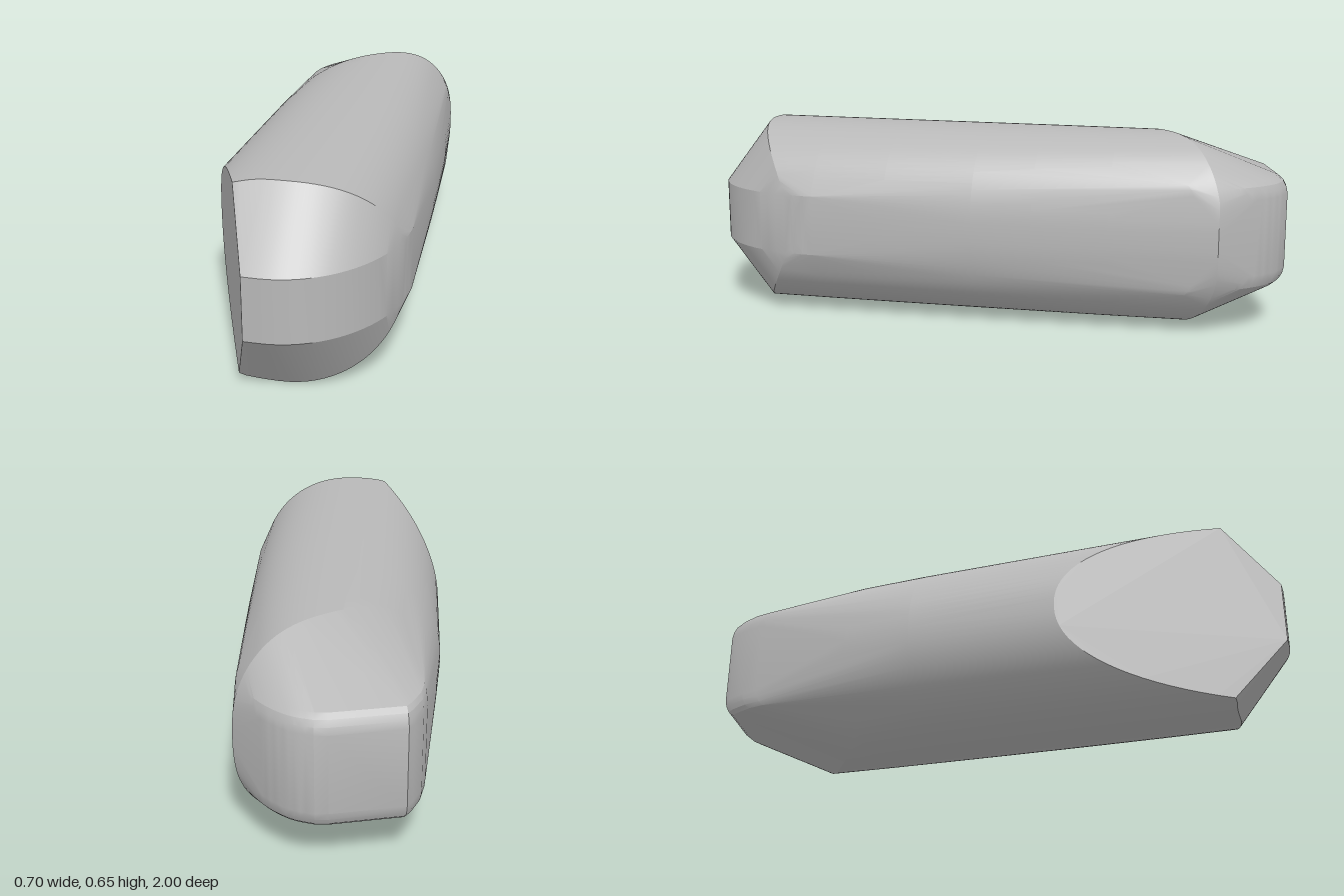
import * as THREE from 'three';
import { toCreasedNormals } from 'three/addons/utils/BufferGeometryUtils.js';
import { ConvexGeometry } from 'three/addons/geometries/ConvexGeometry.js';

const MID = 0.329; // height of the long axis

// piecewise-linear lookup through [z, value] pairs
function lookup(table, z) {
  if (z <= table[0][0]) return table[0][1];
  for (let i = 1; i < table.length; i++) {
    const [z0, v0] = table[i - 1], [z1, v1] = table[i];
    if (z <= z1) return v0 + (v1 - v0) * (z - z0) / (z1 - z0);
  }
  return table[table.length - 1][1];
}
const rightHalf = [[-0.75, 0.26], [-0.4, 0.3], [0, 0.328], [0.3, 0.343], [0.6, 0.352]];
const leftHalf = [[-0.8, 0.312], [-0.45, 0.34], [-0.2, 0.353], [0.3, 0.347]];

// rounded cross-section, wider curve on the +x side
function sectionPoint(angle, z) {
  const c = Math.cos(angle), s = Math.sin(angle);
  const n = c > 0 ? 2.4 : 2.2;
  const half = lookup(c > 0 ? rightHalf : leftHalf, z);
  const x = Math.sign(c) * half * Math.abs(c) ** (2 / n);
  const y = MID + Math.sign(s) * (0.322 + 0.004 * z) * Math.abs(s) ** (2 / n);
  return new THREE.Vector3(x, y, z);
}

// front limit: rounded nose with upper and lower bevels and one slanted flat side
function frontLimit(x, y) {
  const r = Math.min(1, Math.max(0, x) / 0.352);
  const nose = 0.55 + 0.45 * Math.sqrt(1 - r * r);
  const bevel = 0.8 * Math.max(0, Math.abs(y - MID) - 0.101);
  return Math.min(nose - bevel, 1 - 2.333 * (-0.05 - x));
}
// back limit: oblique start of the tapering tail
const backLimit = (x) => -0.6 - 0.8 * THREE.MathUtils.clamp(x, -0.2, 0.25);

function bodyPoints() {
  const points = [];
  // long body, trimmed at both ends
  for (let i = 0; i < 96; i++) {
    const angle = i / 96 * Math.PI * 2;
    for (const target of [-1, -0.45, -0.2, 0, 0.3, 0.55, 1]) {
      let z = target, p;
      for (let k = 0; k < 8; k++) {
        p = sectionPoint(angle, z);
        z = THREE.MathUtils.clamp(target, backLimit(p.x), frontLimit(p.x, p.y));
      }
      points.push(new THREE.Vector3(p.x, p.y, z));
    }
  }
  // upper and lower edges of the nose wall
  for (const side of [-1, 1]) {
    const y = MID + side * 0.101;
    points.push(new THREE.Vector3(-0.05, y, 1));
    for (let i = 0; i <= 20; i++) {
      const a = i / 20 * Math.PI / 2;
      points.push(new THREE.Vector3(0.352 * Math.sin(a), y, 0.55 + 0.45 * Math.cos(a)));
    }
  }
  // tail wall with softened upper and lower rims
  const round = new THREE.SplineCurve([[0.26, -0.72], [0.24, -0.79], [0.2, -0.86], [0.14, -0.93],
    [0.07, -0.98], [0, -1]].map(([x, z]) => new THREE.Vector2(x, z))).getPoints(24);
  const corner = [[-0.04, -0.997], [-0.26, -0.94], [-0.275, -0.915], [-0.3, -0.85], [-0.31, -0.79]]
    .map(([x, z]) => new THREE.Vector2(x, z));
  for (const p of [...round, ...corner]) {
    for (const [dy, scale] of [[0.125, 1], [0.147, 0.995], [0.166, 0.985], [0.18, 0.968]]) {
      for (const side of [-1, 1]) points.push(new THREE.Vector3(p.x * scale, MID + side * dy, p.y * scale));
    }
  }
  return points;
}

export function createModel() {
  const group = new THREE.Group();
  group.name = 'beveledBar';
  const grey = new THREE.MeshStandardMaterial({ color: 0xb8b8b8 });
  grey.name = 'grey';
  const geometry = toCreasedNormals(new ConvexGeometry(bodyPoints()), 0.28);
  geometry.computeBoundingBox();
  geometry.translate(0, -geometry.boundingBox.min.y, 0);
  const body = new THREE.Mesh(geometry, grey);
  body.name = 'body';
  group.add(body);
  return group;
}
